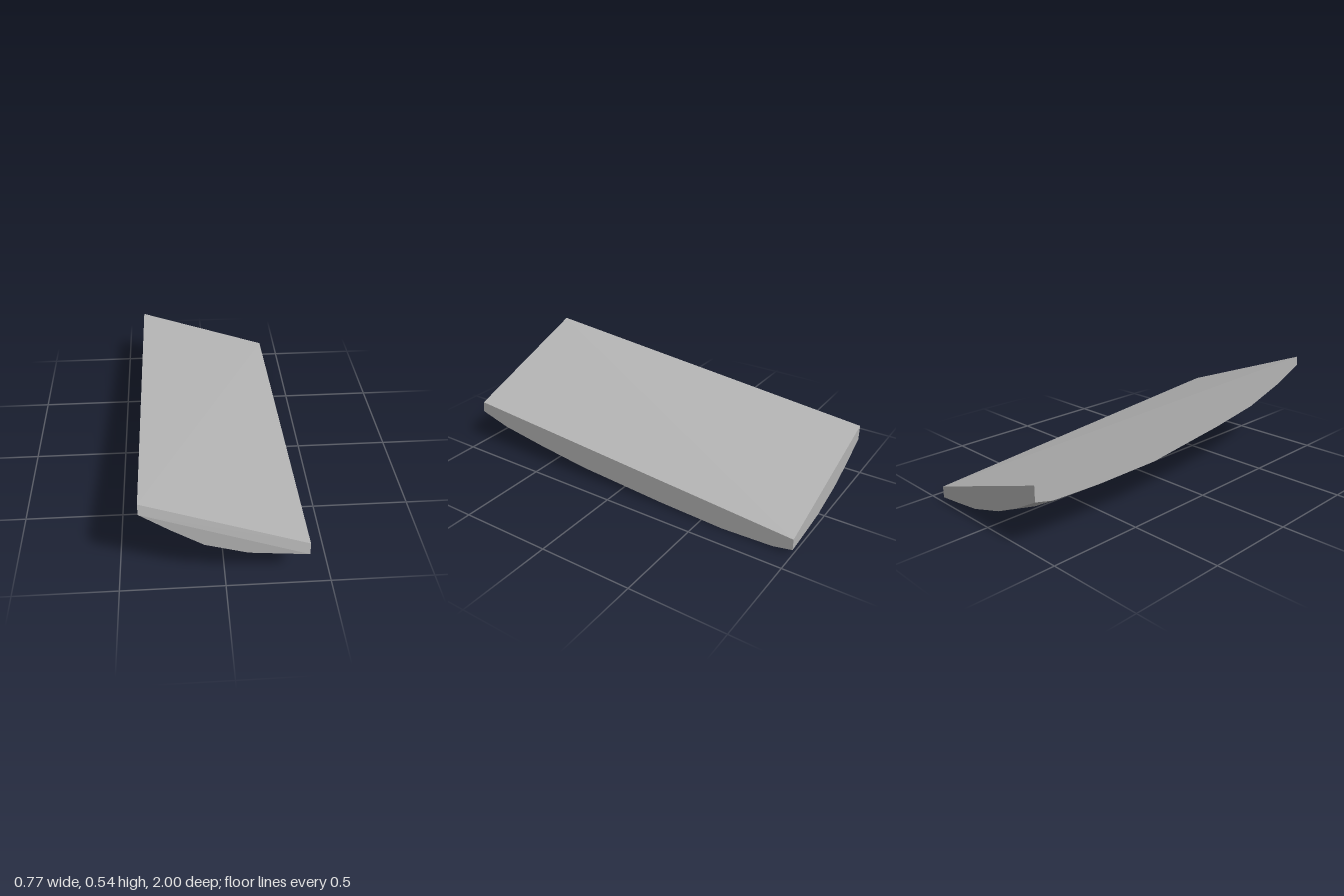
import * as THREE from 'three';
import { ConvexGeometry } from 'three/addons/geometries/ConvexGeometry.js';

// underside heights, one row per z station, across the x columns
const COLUMNS = [-0.385, -0.25, -0.1, 0.1, 0.25, 0.385];
const UNDERSIDE = [
  { z: 1.0, y: [0.49, 0.388, 0.285, 0.22, 0.204, 0.19] },
  { z: 0.94, y: [0.472, 0.36, 0.265, 0.2, 0.185, 0.173] },
  { z: 0.82, y: [0.415, 0.305, 0.225, 0.16, 0.145, 0.138] },
  { z: 0.55, y: [0.335, 0.235, 0.17, 0.115, 0.099, 0.095] },
  { z: 0.25, y: [0.29, 0.2, 0.13, 0.073, 0.059, 0.055] },
  { z: -0.25, y: [0.233, 0.16, 0.093, 0.035, 0.022, 0.018] },
  { z: -0.62, y: [0.23, 0.15, 0.088, 0.025, 0.008, 0] },
  { z: -0.9, y: [0.24, 0.165, 0.105, 0.042, 0.018, 0.01] },
  { z: -1.0, y: [0.265, 0.19, 0.122, 0.064, 0.045, 0.03] },
];

export function createModel() {
  const group = new THREE.Group();
  group.name = 'slab';

  const gray = new THREE.MeshStandardMaterial({ color: 0xb4b4b4 });
  gray.name = 'gray';

  // tilted top corners, the front edge set back slightly
  const points = [
    new THREE.Vector3(-0.385, 0.542, 0.99),
    new THREE.Vector3(0.385, 0.25, 0.99),
    new THREE.Vector3(-0.385, 0.345, -1),
    new THREE.Vector3(0.385, 0.09, -1),
  ];

  // rounded belly
  for (const { z, y } of UNDERSIDE) {
    COLUMNS.forEach((x, i) => points.push(new THREE.Vector3(x, y[i], z)));
  }

  // faceted convex body
  const body = new THREE.Mesh(new ConvexGeometry(points), gray);
  body.name = 'body';
  group.add(body);
  return group;
}
